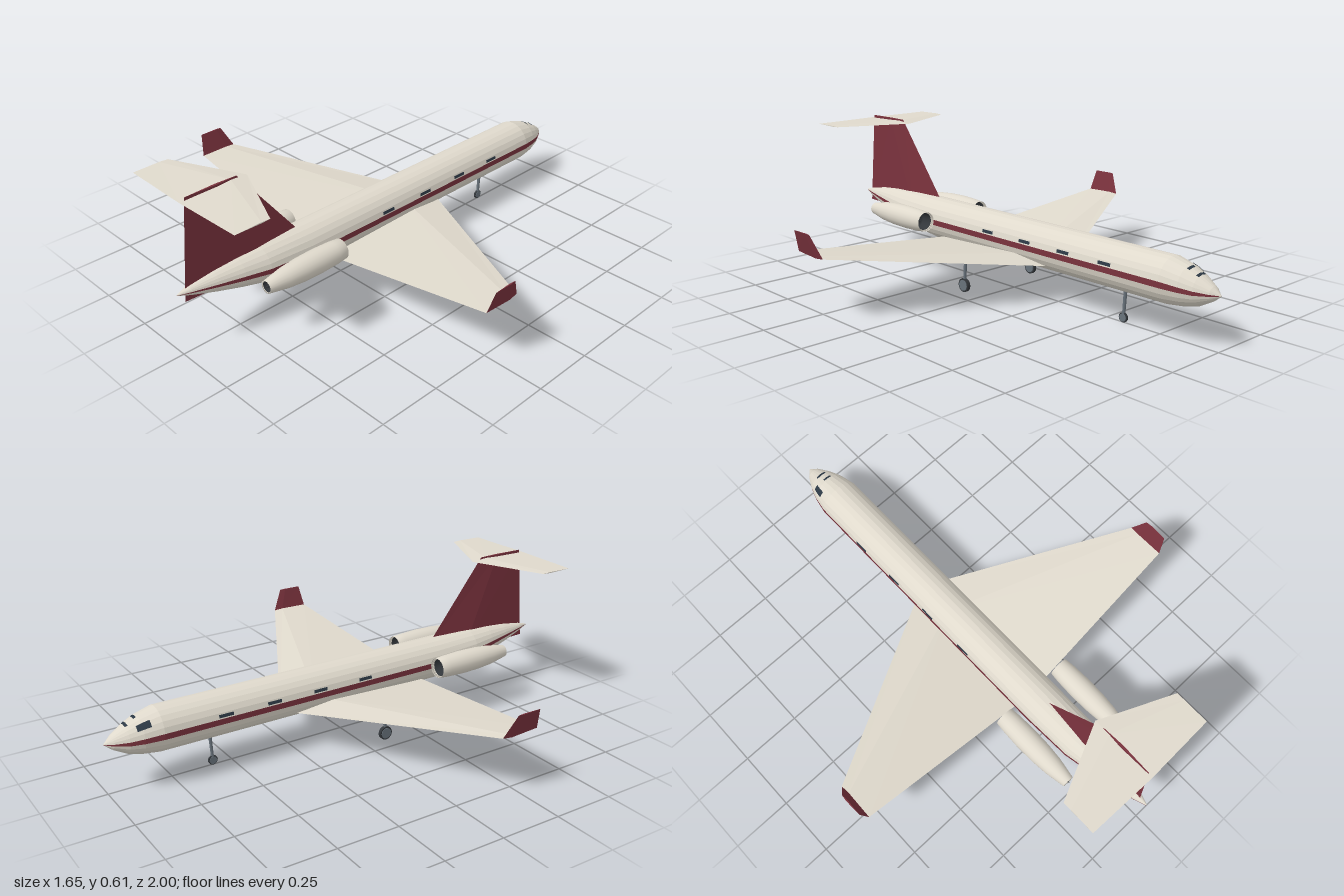
import * as THREE from 'three';

const mat = (name, color, extra = {}) => Object.assign(new THREE.MeshStandardMaterial({ color, ...extra }), { name });
const cream = mat('cream paint', 0xdfd9cc);
const red = mat('dark red trim', 0x7a323d);
const glass = mat('dark glass', 0x2c3844, { side: THREE.DoubleSide });
const metal = mat('gear metal', 0x68727b);
const dark = mat('dark grey', 0x34383c, { side: THREE.DoubleSide });

// Faceted skin over a row of equal cross-sections, capped at both ends.
// accent(j) picks the columns that take the second material.
function loft(rings, accent = () => false) {
  const faces = [[], []];
  const n = rings[0].length;
  const tri = (m, ...pts) => pts.forEach((p) => faces[m].push(...p));
  for (let i = 0; i < rings.length - 1; i++) {
    for (let j = 0; j < n; j++) {
      const k = (j + 1) % n, m = accent(j) ? 1 : 0;
      const a = rings[i][j], b = rings[i][k], c = rings[i + 1][k], d = rings[i + 1][j];
      tri(m, a, b, c);
      tri(m, a, c, d);
    }
  }
  const first = rings[0], last = rings[rings.length - 1];
  for (let j = 1; j < n - 1; j++) {
    tri(0, first[0], first[j + 1], first[j]);
    tri(0, last[0], last[j], last[j + 1]);
  }
  const g = new THREE.BufferGeometry();
  g.setAttribute('position', new THREE.Float32BufferAttribute([...faces[0], ...faces[1]], 3));
  g.addGroup(0, faces[0].length / 3, 0);
  g.addGroup(faces[0].length / 3, faces[1].length / 3, 1);
  g.computeVertexNormals();
  return g;
}

function add(parent, name, geometry, material, x = 0, y = 0, z = 0) {
  const m = new THREE.Mesh(geometry, material);
  m.name = name;
  m.position.set(x, y, z);
  parent.add(m);
  return m;
}

// Fuselage stations: z, centre height, half width, half height
const stations = [
  [-1, 0.199, 0.002, 0.002], [-0.97, 0.2, 0.029, 0.027], [-0.92, 0.202, 0.056, 0.056],
  [-0.87, 0.207, 0.074, 0.074], [-0.8, 0.2125, 0.088, 0.0875], [0.445, 0.2125, 0.088, 0.0875],
  [0.65, 0.226, 0.083, 0.075], [0.75, 0.235, 0.066, 0.061], [0.85, 0.243, 0.045, 0.042],
  [0.95, 0.25, 0.02, 0.018], [1, 0.252, 0.002, 0.002],
];

// Point on the fuselage skin, pushed out by "off"
function skin(z, angle, off = 0) {
  let i = 0;
  while (i < stations.length - 2 && z > stations[i + 1][0]) i++;
  const t = (z - stations[i][0]) / (stations[i + 1][0] - stations[i][0]);
  const [cy, rx, ry] = [1, 2, 3].map((k) => THREE.MathUtils.lerp(stations[i][k], stations[i + 1][k], t));
  return [(rx + off) * Math.cos(angle), cy + (ry + off) * Math.sin(angle), z];
}

// Thin glass pane that follows the skin
function pane(parent, name, z0, z1, a0, a1) {
  const g = new THREE.PlaneGeometry(1, 1, 4, 2);
  const p = g.attributes.position;
  for (let i = 0; i < p.count; i++) {
    const a = THREE.MathUtils.lerp(a0, a1, p.getY(i) + 0.5);
    p.setXYZ(i, ...skin(THREE.MathUtils.lerp(z0, z1, p.getX(i) + 0.5), a, 0.0015));
  }
  g.computeVertexNormals();
  return add(parent, name, g, glass);
}

// Four-sided aerofoil section across x: ridge, trailing edge, belly, leading edge
const foil = (x, y, lead, trail, half) => {
  const ridge = lead + (trail - lead) * 0.25;
  return [[x, y + half, ridge], [x, y, trail], [x, y - half, ridge], [x, y, lead]];
};

function buildWing() {
  const wing = new THREE.Group();
  add(wing, 'wingPanel', loft([foil(0, 0.147, -0.28, 0.37, 0.024), foil(0.8, 0.243, 0.155, 0.315, 0.004)]), cream);
  add(wing, 'winglet', loft([foil(0.8, 0.243, 0.155, 0.315, 0.004), foil(0.824, 0.33, 0.2, 0.3, 0.001)]
    .map((r, i) => r.map(([x, y, z], j) => [x + (j === 0 ? -0.003 : j === 2 ? 0.003 : 0), i ? 0.33 : y, z]))), red);
  return wing;
}

function buildEngine() {
  const engine = new THREE.Group();
  const lathe = (pts) => new THREE.LatheGeometry(pts.map(([r, z]) => new THREE.Vector2(r, z)), 20).rotateX(Math.PI / 2);
  add(engine, 'nacelle', lathe([[0.036, 0.39], [0.041, 0.378], [0.045, 0.42], [0.048, 0.5], [0.046, 0.58],
    [0.04, 0.65], [0.025, 0.733], [0.021, 0.73]]), cream);
  add(engine, 'intakeDuct', lathe([[0, 0.41], [0.012, 0.44], [0.034, 0.44], [0.036, 0.39]]), dark);
  add(engine, 'exhaustNozzle', lathe([[0.021, 0.73], [0.024, 0.69], [0.012, 0.69], [0, 0.74]]), dark);
  engine.position.set(0.15, 0.23, 0);
  return engine;
}

function buildGear(name, x, z, radius, width, top, lean) {
  const gear = new THREE.Group();
  gear.name = name;
  const length = top - radius;
  const strut = add(gear, 'strut', new THREE.CylinderGeometry(0.007, 0.006, length, 8), metal, 0, radius + length / 2, -lean / 2);
  strut.rotation.x = -Math.atan2(lean, length);
  add(gear, 'tyre', new THREE.CylinderGeometry(radius, radius, width, 16).rotateZ(Math.PI / 2), dark, 0, radius, 0);
  add(gear, 'hub', new THREE.CylinderGeometry(radius * 0.8, radius * 0.8, width + 0.004, 16).rotateZ(Math.PI / 2), metal, 0, radius, 0);
  gear.position.set(x, 0, z);
  return gear;
}

export function createModel() {
  const model = new THREE.Group();
  model.name = 'businessJet';

  // Fuselage with one red column of faces along each side
  const sides = 24, step = (Math.PI * 2) / sides;
  const rings = stations.map(([z]) => Array.from({ length: sides }, (_, j) => skin(z, (j - 0.5) * step)));
  add(model, 'fuselage', loft(rings, (j) => j % (sides / 2) === 0), [cream, red]);

  // Cabin windows and small cockpit panes
  for (const z of [0.065, -0.145, -0.35, -0.555]) {
    pane(model, 'cabinWindowLeft', z - 0.03, z + 0.03, 0.19, 0.33);
    pane(model, 'cabinWindowRight', z - 0.03, z + 0.03, Math.PI - 0.19, Math.PI - 0.33);
  }
  pane(model, 'cockpitSidePane', -0.89, -0.84, 2.2, 2.55);
  pane(model, 'cockpitFrontPane', -0.922, -0.912, 1.15, 1.9);
  pane(model, 'cockpitUpperPane', -0.885, -0.875, 1.2, 1.7);

  // Wings, engines and main gear, mirrored
  for (const s of [1, -1]) {
    const label = s > 0 ? 'left' : 'right';
    const half = new THREE.Group();
    half.name = label + 'Side';
    const wing = buildWing(), engine = buildEngine();
    wing.name = label + 'Wing';
    engine.name = label + 'Engine';
    half.add(wing, engine, buildGear(label + 'MainGear', 0.185, 0.095, 0.028, 0.014, 0.165, 0.012));
    half.scale.x = s;
    model.add(half);
  }
  model.add(buildGear('noseGear', 0, -0.58, 0.019, 0.008, 0.14, 0.008));

  // Fin: trailing edge, left bulge, leading edge, right bulge
  const finRing = (y, lead, trail, half) => {
    const mid = lead + (trail - lead) * 0.4;
    return [[0, y, trail], [half, y, mid], [0, y, lead], [-half, y, mid]];
  };
  add(model, 'tailFin', loft([finRing(0.21, 0.4, 0.97, 0.019), finRing(0.61, 0.715, 0.93, 0.005)]), red);

  // Tailplane on top of the fin
  add(model, 'tailplane', loft([
    foil(-0.288, 0.597, 0.8, 0.943, 0.002), foil(0, 0.597, 0.67, 0.95, 0.007), foil(0.288, 0.597, 0.8, 0.943, 0.002),
  ]), cream);
  return model;
}
